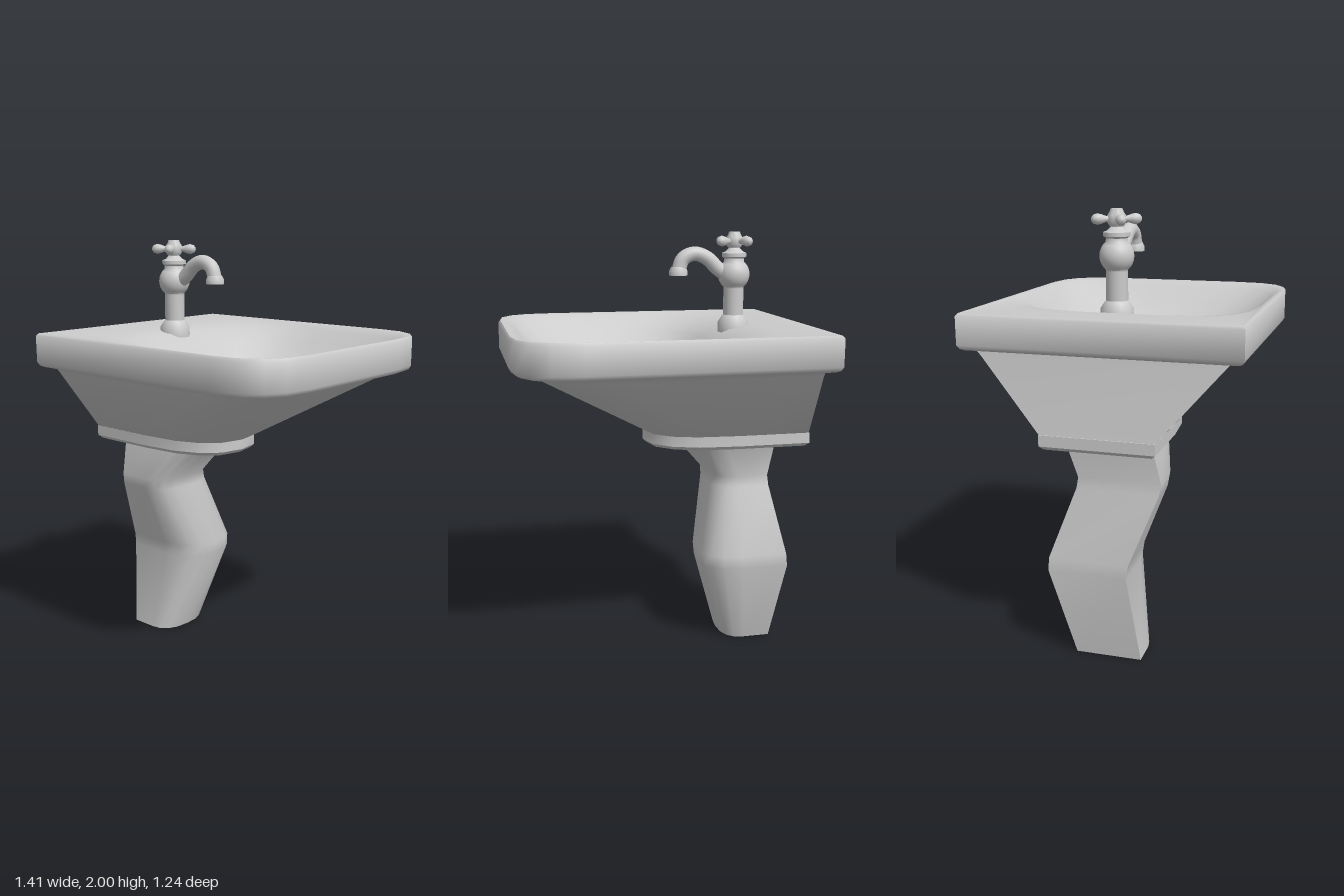
import * as THREE from 'three';
import { toCreasedNormals } from 'three/addons/utils/BufferGeometryUtils.js';

const material = new THREE.MeshStandardMaterial({ color: 0xcccccc });

function add(parent, name, geometry) {
  const mesh = new THREE.Mesh(geometry, material);
  mesh.name = name;
  parent.add(mesh);
  return mesh;
}

// Rectangle at height y with full, slightly squared corners: front (+x) radii rfx, rfz and back (-x) radii rbx, rbz
function ring(y, x0, x1, z0, z1, rfx, rfz, rbx = 0, rbz = 0) {
  const n = 4;
  const full = (t) => Math.sign(t) * Math.abs(t) ** 0.8;
  const corners = [
    [x1 - rfx, z1 - rfz, rfx, rfz], [x0 + rbx, z1 - rbz, rbx, rbz],
    [x0 + rbx, z0 + rbz, rbx, rbz], [x1 - rfx, z0 + rfz, rfx, rfz],
  ];
  const points = [];
  corners.forEach(([cx, cz, rx, rz], k) => {
    for (let i = 0; i <= n; i++) {
      const a = (k + i / n) * Math.PI / 2;
      points.push(new THREE.Vector3(cx + rx * full(Math.cos(a)), y, cz + rz * full(Math.sin(a))));
    }
  });
  return points;
}

// Skin a closed solid over a stack of rings
function loft(rings, crease) {
  const n = rings[0].length;
  const positions = [];
  const index = [];
  const push = (p) => positions.push(p.x, p.y, p.z);
  rings.forEach((r) => r.forEach(push));
  const last = (rings.length - 1) * n;
  [rings[0], rings[rings.length - 1]].forEach((r) => {
    push(r.reduce((s, p) => s.add(p), new THREE.Vector3()).divideScalar(n));
  });
  const bottom = last + n;
  for (let j = 0; j < n; j++) {
    const k = (j + 1) % n;
    for (let i = 0; i < last; i += n) {
      index.push(i + j, i + n + j, i + k, i + k, i + n + j, i + n + k);
    }
    index.push(bottom, j, k, bottom + 1, last + k, last + j);
  }
  const g = new THREE.BufferGeometry();
  g.setAttribute('position', new THREE.Float32BufferAttribute(positions, 3));
  g.setIndex(index);
  return toCreasedNormals(g, crease);
}

function lathe(profile, segments = 24) {
  const g = new THREE.LatheGeometry(profile.map(([r, y]) => new THREE.Vector2(r, y)), segments);
  return toCreasedNormals(g, 0.7);
}

function createFaucet() {
  const faucet = new THREE.Group();
  faucet.name = 'faucet';
  faucet.position.set(-0.393, 0, 0);

  // Flared foot, stem, round body and collar
  const profile = [[0, 1.53], [0.073, 1.53], [0.073, 1.577], [0.055, 1.604], [0.048, 1.612], [0.048, 1.735]];
  for (let i = 0; i <= 8; i++) {
    const a = -0.87 + i * 0.218;
    profile.push([0.075 * Math.cos(a), 1.802 + 0.077 * Math.sin(a)]);
  }
  profile.push([0.046, 1.877], [0.058, 1.885], [0.058, 1.902], [0.04, 1.91], [0.026, 1.925], [0.026, 1.94], [0, 1.94]);
  add(faucet, 'body', lathe(profile));

  // Curved spout with a flared outlet
  const path = new THREE.CatmullRomCurve3([
    [0.03, 1.795], [0.08, 1.83], [0.135, 1.88], [0.195, 1.9], [0.25, 1.876], [0.272, 1.82],
  ].map(([x, y]) => new THREE.Vector3(x, y, 0)));
  add(faucet, 'spout', new THREE.TubeGeometry(path, 24, 0.034, 14));
  add(faucet, 'outlet', lathe([[0, 1.8], [0.044, 1.8], [0.044, 1.82], [0.034, 1.84], [0, 1.84]], 18))
    .position.x = 0.272;

  // Cross handle
  const handle = new THREE.Group();
  handle.name = 'crossHandle';
  handle.position.y = 1.957;
  faucet.add(handle);
  add(handle, 'hub', lathe([[0, -0.03], [0.03, -0.03], [0.04, -0.015], [0.04, 0.015], [0.03, 0.03], [0.026, 0.043], [0, 0.043]], 18));
  const arm = new THREE.LatheGeometry([
    [0.013, 0.02], [0.013, 0.045], [0.02, 0.065], [0.024, 0.083], [0.019, 0.1], [0.01, 0.108], [0, 0.11],
  ].map(([r, y]) => new THREE.Vector2(r, y)), 12);
  arm.rotateZ(-Math.PI / 2);
  for (let i = 0; i < 4; i++) {
    add(handle, 'handleArm', arm).rotation.y = 0.52 + i * Math.PI / 2;
  }
  return faucet;
}

export function createModel() {
  const model = new THREE.Group();
  model.name = 'pedestalSink';

  // Bent pedestal: y, back x, front x, -z side, +z side
  const column = [
    [0, -0.565, -0.33, -0.15, 0.155],
    [0.41, -0.612, -0.2, -0.265, 0.1],
    [0.47, -0.607, -0.195, -0.262, 0.108],
    [0.79, -0.545, -0.268, -0.148, 0.232],
    [0.84, -0.54, -0.268, -0.14, 0.24],
    [1.02, -0.555, -0.11, -0.198, 0.2],
  ].map(([y, x0, x1, z0, z1]) => ring(y, x0, x1, z0, z1, (x1 - x0) * 0.45, (z1 - z0) / 2));
  add(model, 'pedestal', loft(column, 1.0));

  // Plate between pedestal and bowl
  const plate = [[1.003, 0.018], [1.02, 0], [1.07, 0]].map(([y, d]) =>
    ring(y, -0.706 + d, 0.052 - d, -0.257 + d, 0.257 - d, 0.42 - d, 0.257 - d));
  add(model, 'mountingPlate', loft(plate, 0.6));

  // Tapering underside, then the rim, deck and basin, in one skin
  const underside = [
    ring(1.065, -0.702, 0.047, -0.252, 0.252, 0.42, 0.252),
    ring(1.388, -0.652, 0.6, -0.532, 0.532, 0.31, 0.31),
    ring(1.412, -0.65, 0.64, -0.555, 0.555, 0.29, 0.29),
  ];
  const rim = [[1.413, 0.027], [1.421, 0.01], [1.438, 0], [1.563, 0], [1.575, 0.01]].map(([y, d]) =>
    ring(y, -0.707 + d, 0.707 - d, -0.618 + d, 0.618 - d, 0.29 - d, 0.29 - d));
  const basin = [
    // y, back x, front x, half width, front radii, back radii
    [1.574, -0.67, 0.685, 0.598, 0.28, 0.28, 0.03, 0.03],
    [1.569, -0.48, 0.667, 0.582, 0.29, 0.29, 0.35, 0.3],
    [1.548, -0.355, 0.642, 0.556, 0.3, 0.3, 0.42, 0.38],
    [1.49, -0.265, 0.587, 0.495, 0.32, 0.34, 0.36, 0.36],
    [1.42, -0.205, 0.505, 0.41, 0.34, 0.36, 0.32, 0.34],
    [1.355, -0.145, 0.4, 0.305, 0.27, 0.28, 0.26, 0.27],
    [1.31, -0.065, 0.27, 0.18, 0.16, 0.17, 0.16, 0.17],
    [1.297, 0.02, 0.15, 0.07, 0.06, 0.06, 0.06, 0.06],
  ].map(([y, x0, x1, hz, ...radii]) => ring(y, x0, x1, -hz, hz, ...radii));
  add(model, 'bowl', loft([...underside, ...rim, ...basin], 0.9));

  model.add(createFaucet());
  return model;
}
